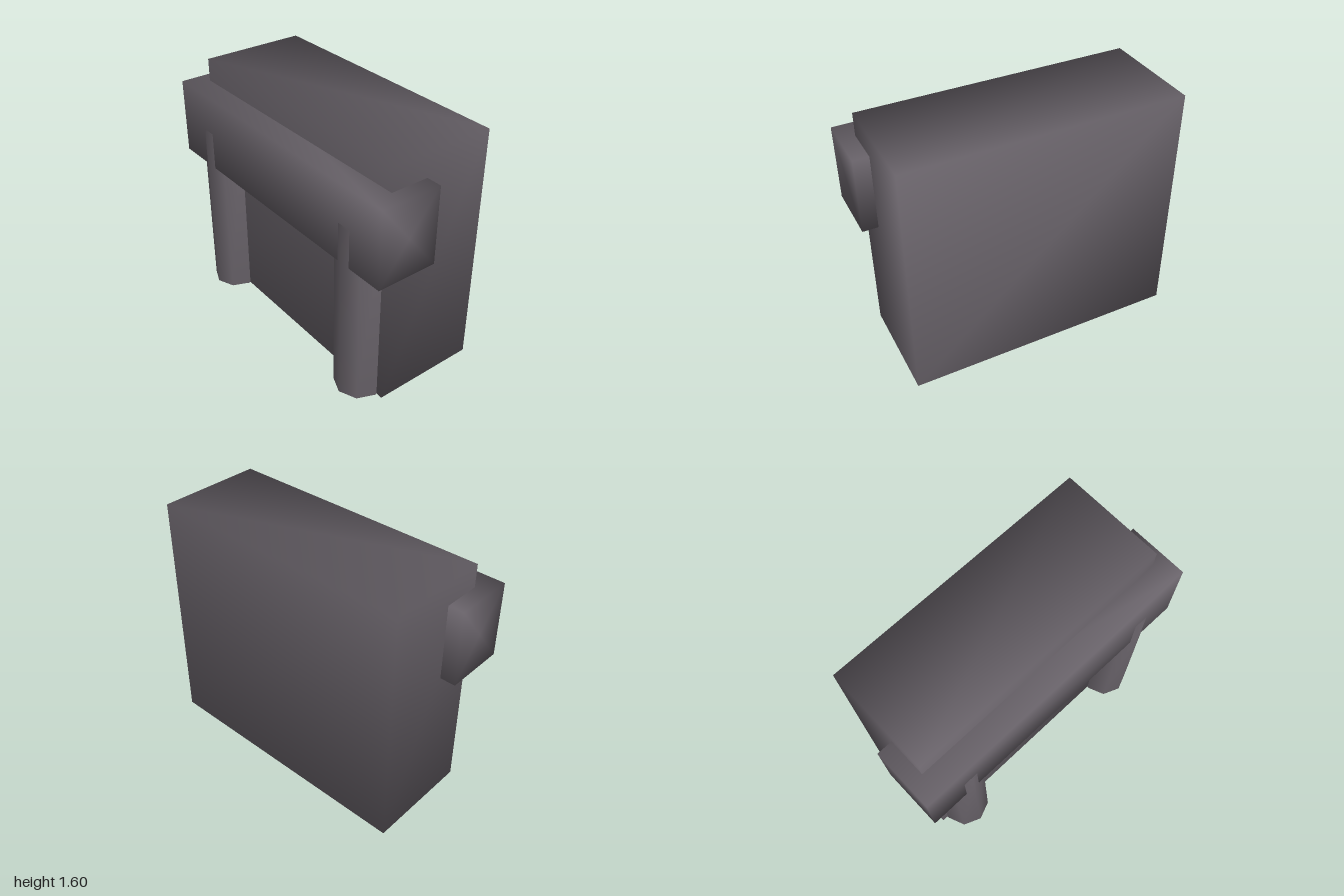
import * as THREE from 'three';
import { mergeVertices } from 'three/addons/utils/BufferGeometryUtils.js';

// Weld corners so normals blend smoothly across every edge
function smooth(geometry) {
  geometry.deleteAttribute('uv');
  geometry.deleteAttribute('normal');
  const welded = mergeVertices(geometry, 1e-4);
  welded.computeVertexNormals();
  return welded;
}

export function createModel() {
  const group = new THREE.Group();
  const stone = new THREE.MeshStandardMaterial({ color: 0x69636a });
  stone.name = 'dark stone';

  function add(name, geometry, x, y, z) {
    const mesh = new THREE.Mesh(smooth(geometry), stone);
    mesh.name = name;
    mesh.position.set(x, y, z);
    group.add(mesh);
  }

  // Main block
  add('mainBlock', new THREE.BoxGeometry(1.8, 1.6, 0.7), 0, 0.8, -0.085);

  // Four-sided beam lying across the front, with fanned end caps
  const beam = new THREE.CylinderGeometry(Math.SQRT1_2, Math.SQRT1_2, 2, 4);
  beam.rotateY(Math.PI / 4).rotateZ(Math.PI / 2).scale(1, 0.5, 0.4);
  add('lintelBeam', beam, 0, 1.2, 0.215);

  // Eight-sided columns under the beam
  for (const side of [-1, 1]) {
    const column = new THREE.CylinderGeometry(0.16, 0.16, 1.2, 8);
    add(side > 0 ? 'leftColumn' : 'rightColumn', column, side * 0.7, 0.6, 0.275);
  }

  return group;
}
